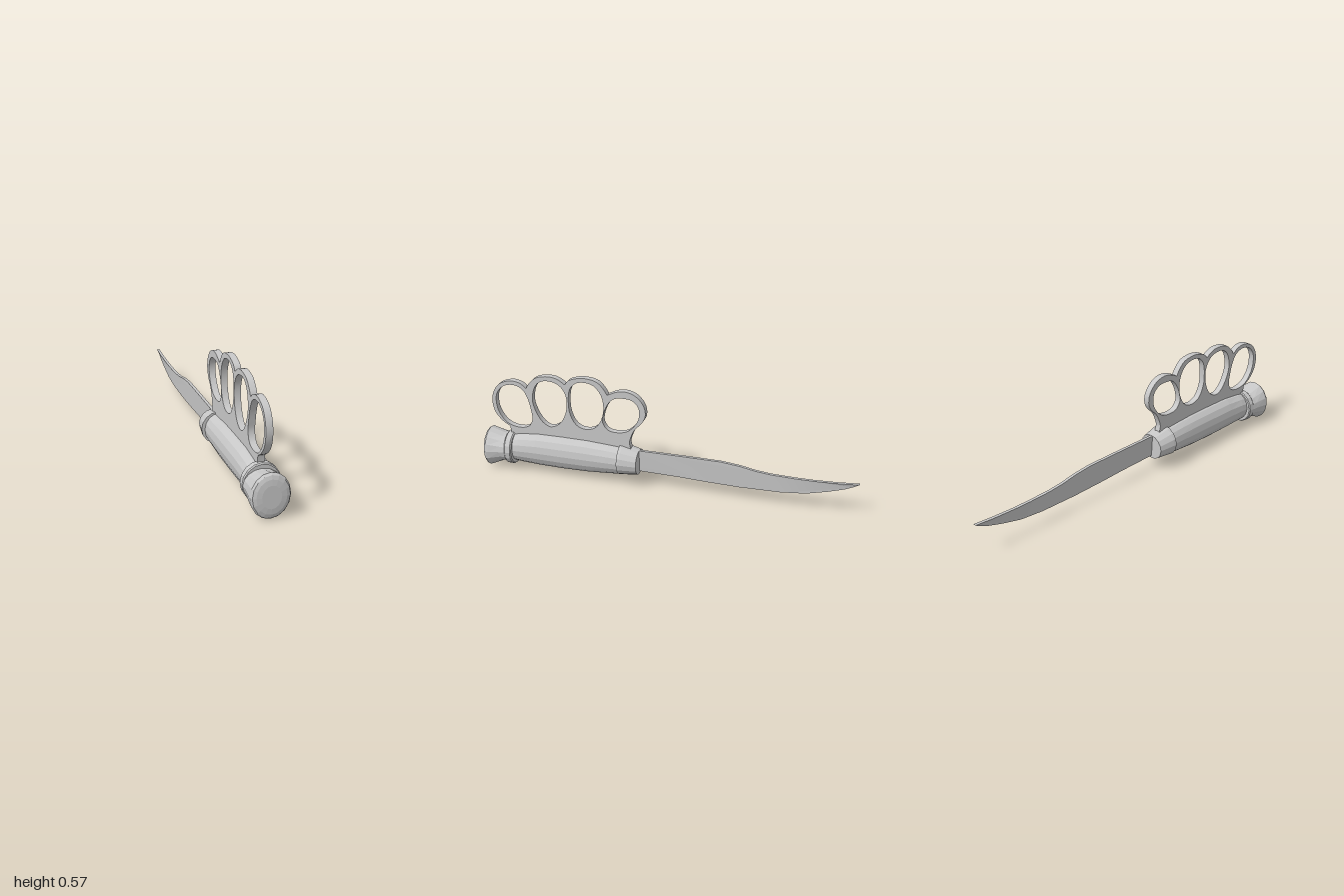
import * as THREE from 'three';
import { toCreasedNormals } from 'three/addons/utils/BufferGeometryUtils.js';

const SIDES = 16;

// Faceted loft of ellipses along z; each section is [z, centreY, radiusX, radiusY], front to back.
function loft(sections) {
  const pos = [], idx = [];
  for (const [z, cy, rx, ry] of sections) {
    for (let i = 0; i < SIDES; i++) {
      const a = (i / SIDES) * Math.PI * 2;
      pos.push(Math.sin(a) * rx, cy + Math.cos(a) * ry, z);
    }
  }
  const last = sections.length - 1;
  for (let s = 0; s < last; s++) {
    for (let i = 0; i < SIDES; i++) {
      const j = (i + 1) % SIDES;
      const a = s * SIDES + i, b = s * SIDES + j;
      idx.push(a, b, a + SIDES, b, b + SIDES, a + SIDES);
    }
  }
  // end caps
  for (const s of [0, last]) {
    const c = pos.length / 3;
    pos.push(0, sections[s][1], sections[s][0]);
    for (let i = 0; i < SIDES; i++) {
      const a = s * SIDES + i, b = s * SIDES + (i + 1) % SIDES;
      if (s === 0) idx.push(c, b, a);
      else idx.push(c, a, b);
    }
  }
  const g = new THREE.BufferGeometry();
  g.setAttribute('position', new THREE.Float32BufferAttribute(pos, 3));
  g.setIndex(idx);
  const flat = g.toNonIndexed();
  flat.computeVertexNormals();
  return flat;
}

const vecs = (pts) => pts.map(([z, y]) => new THREE.Vector2(z, y));

// Side plate: a shape drawn in (z, y), extruded and centred across x.
function plate(shape, thickness) {
  const g = new THREE.ExtrudeGeometry(shape, { depth: thickness, bevelEnabled: false });
  g.translate(0, 0, -thickness / 2);
  g.rotateY(-Math.PI / 2);
  return g;
}

export function createModel() {
  const steel = new THREE.MeshStandardMaterial({ color: 0xc8c8c8 });
  steel.name = 'grey steel';
  const group = new THREE.Group();
  group.name = 'knuckleKnife';
  const add = (name, geometry) => {
    const mesh = new THREE.Mesh(geometry, steel);
    mesh.name = name;
    group.add(mesh);
  };

  // Flared pommel with a softly domed end
  add('pommel', loft([
    [1.0, 0.109, 0.045, 0.055], [0.997, 0.109, 0.07, 0.082], [0.991, 0.109, 0.086, 0.1],
    [0.98, 0.109, 0.093, 0.109], [0.965, 0.11, 0.093, 0.103], [0.9, 0.116, 0.089, 0.078],
    [0.86, 0.117, 0.088, 0.071],
  ]));

  // Collar between pommel and grip
  add('collar', loft([
    [0.873, 0.12, 0.086, 0.089], [0.867, 0.12, 0.091, 0.094],
    [0.838, 0.12, 0.091, 0.094], [0.832, 0.12, 0.086, 0.089],
  ]));

  // Grip, slightly swollen in the middle
  add('grip', loft([
    [0.845, 0.125, 0.07, 0.077], [0.8, 0.127, 0.071, 0.085], [0.7, 0.13, 0.071, 0.094],
    [0.56, 0.13, 0.071, 0.096], [0.42, 0.131, 0.071, 0.094], [0.3, 0.132, 0.071, 0.086],
    [0.22, 0.133, 0.07, 0.079],
  ]));

  // Tapered ferrule holding the blade
  add('ferrule', loft([
    [0.237, 0.138, 0.087, 0.084], [0.222, 0.138, 0.086, 0.083], [0.135, 0.132, 0.071, 0.068],
  ]));

  // Knuckle guard: scalloped outline with four finger holes
  const guard = new THREE.Shape(vecs([[0.852, 0.15], [0.852, 0.214], [0.858, 0.246]]));
  const scallops = [
    [[0.858, 0.246], [0.9, 0.273], [0.938, 0.32], [0.951, 0.38], [0.938, 0.439], [0.9, 0.487],
      [0.836, 0.509], [0.783, 0.501], [0.75, 0.476]],
    [[0.75, 0.476], [0.735, 0.503], [0.692, 0.543], [0.622, 0.558], [0.57, 0.549], [0.531, 0.524]],
    [[0.531, 0.524], [0.505, 0.553], [0.435, 0.572], [0.365, 0.564], [0.328, 0.537], [0.3, 0.495]],
    [[0.3, 0.495], [0.248, 0.519], [0.194, 0.525], [0.14, 0.503], [0.103, 0.455], [0.097, 0.401],
      [0.119, 0.358], [0.157, 0.316], [0.183, 0.251], [0.178, 0.214]],
  ];
  for (const s of scallops) {
    const pts = new THREE.SplineCurve(vecs(s)).getPoints(s.length * 3);
    for (const p of pts.slice(1)) guard.lineTo(p.x, p.y);
  }
  guard.lineTo(0.178, 0.15);
  const holes = [
    [[0.927, 0.364], [0.921, 0.428], [0.878, 0.476], [0.82, 0.487], [0.773, 0.468], [0.745, 0.42],
      [0.729, 0.353], [0.724, 0.305], [0.745, 0.262], [0.798, 0.246], [0.867, 0.262], [0.91, 0.31]],
    [[0.632, 0.533], [0.568, 0.519], [0.531, 0.471], [0.525, 0.406], [0.541, 0.342], [0.574, 0.294],
      [0.622, 0.273], [0.664, 0.294], [0.702, 0.353], [0.718, 0.417], [0.702, 0.487], [0.675, 0.519]],
    [[0.424, 0.549], [0.37, 0.535], [0.333, 0.487], [0.322, 0.417], [0.338, 0.348], [0.376, 0.299],
      [0.429, 0.286], [0.477, 0.305], [0.509, 0.364], [0.515, 0.433], [0.504, 0.503], [0.472, 0.538]],
    [[0.221, 0.487], [0.167, 0.481], [0.135, 0.449], [0.13, 0.396], [0.151, 0.348], [0.194, 0.305],
      [0.248, 0.291], [0.301, 0.299], [0.328, 0.337], [0.322, 0.39], [0.301, 0.439], [0.269, 0.476]],
  ];
  for (const h of holes) {
    const loop = new THREE.CatmullRomCurve3(h.map(([z, y]) => new THREE.Vector3(z, y, 0)), true);
    guard.holes.push(new THREE.Path(loop.getPoints(36).slice(0, -1).map((v) => new THREE.Vector2(v.x, v.y))));
  }
  add('knuckleGuard', toCreasedNormals(plate(guard, 0.033), 0.6));

  // Blade: wedge section, full thickness at the spine and thin at the cutting edge
  const spine = [[0.16, 0.198], [-0.1, 0.2], [-0.3, 0.2], [-0.4, 0.19], [-0.48, 0.175],
    [-0.56, 0.167], [-0.68, 0.164], [-0.78, 0.165], [-0.9, 0.171], [-1.0, 0.18]];
  const edge = [[-0.97, 0.16], [-0.93, 0.141], [-0.85, 0.115], [-0.74, 0.086], [-0.61, 0.072],
    [-0.4, 0.067], [-0.22, 0.07], [-0.08, 0.075], [0.16, 0.078]];
  const blade = plate(new THREE.Shape(vecs([...spine, ...edge])), 0.016);
  const p = blade.attributes.position;
  for (let i = 0; i < p.count; i++) {
    const onEdge = edge.some(([z, y]) => Math.hypot(z - p.getZ(i), y - p.getY(i)) < 1e-4);
    if (onEdge) p.setX(i, p.getX(i) * 0.2);
  }
  add('blade', toCreasedNormals(blade, 0.5));

  return group;
}
